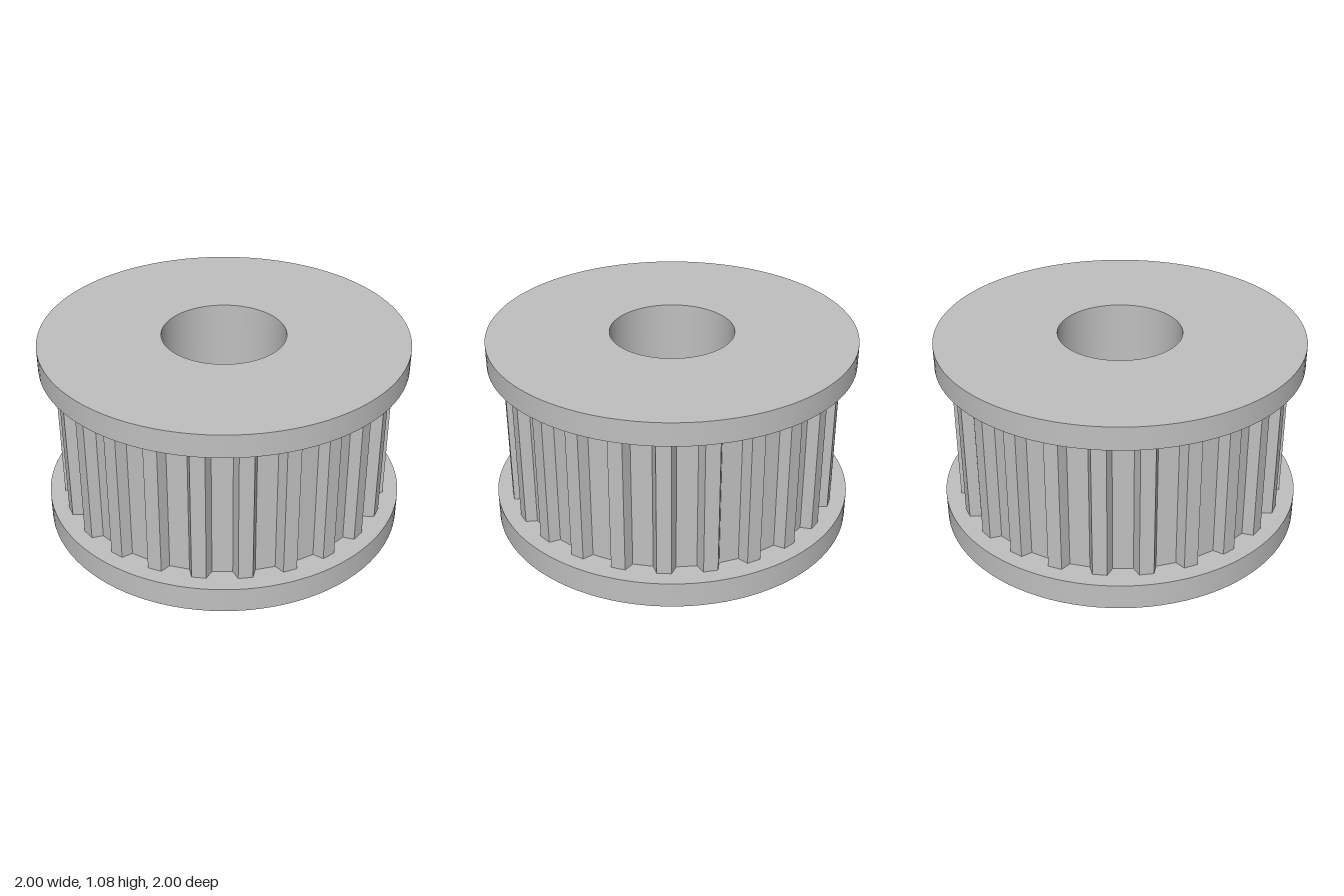
import * as THREE from 'three';

const SEG = 96;
const TEETH = 24;
const Y1 = 0.144, Y2 = 0.949, TOP = 1.077;        // flange and rim heights
const BORE = 0.157, RECESS = 0.338, FLOOR = 0.45; // shaft bore and wide recess
const PIN = 0.119, PIN_X = 0.597, PIN_TOP = 0.4;  // blind holes in the underside

export function createModel() {
  const model = new THREE.Group();
  model.name = 'timingPulley';
  const metal = new THREE.MeshStandardMaterial({ color: 0xc0c0c0 });
  metal.name = 'plain grey';

  const add = (name, geometry, x = 0, y = 0) => {
    const mesh = new THREE.Mesh(geometry, metal);
    mesh.name = name;
    mesh.position.set(x, y, 0);
    model.add(mesh);
  };

  // Turned surface between two profile points: upward faces out, downward faces in
  const turned = (name, r0, y0, r1, y1, x = 0) =>
    add(name, new THREE.LatheGeometry([new THREE.Vector2(r0, y0), new THREE.Vector2(r1, y1)], SEG), x);

  // Flat horizontal face with holes
  const flat = (name, shape, holes, y, up) => {
    shape.holes.push(...holes);
    const geometry = new THREE.ShapeGeometry(shape, SEG);
    geometry.rotateX(up ? -Math.PI / 2 : Math.PI / 2);
    add(name, geometry, 0, y);
  };
  const circle = (r, x = 0) => new THREE.Shape().absarc(x, 0, r, 0, Math.PI * 2, false);

  // Outline of the trapezoidal teeth: root, tip, tip, root for each tooth
  const outline = [];
  for (let i = 0; i < TEETH; i++) {
    for (const [r, deg] of [[0.86, -3.93], [0.917, -2.38], [0.917, 2.38], [0.86, 3.93]]) {
      const a = (i * 360 / TEETH + deg) * Math.PI / 180;
      outline.push(new THREE.Vector2(r * Math.cos(a), r * Math.sin(a)));
    }
  }

  // Toothed belt wall, one flat panel per outline edge
  const positions = [];
  outline.forEach((p, i) => {
    const q = outline[(i + 1) % outline.length];
    const a = [p.x, Y1, -p.y], b = [q.x, Y1, -q.y], c = [q.x, Y2, -q.y], d = [p.x, Y2, -p.y];
    positions.push(...a, ...b, ...c, ...a, ...c, ...d);
  });
  const wall = new THREE.BufferGeometry();
  wall.setAttribute('position', new THREE.Float32BufferAttribute(positions, 3));
  wall.computeVertexNormals();
  add('toothedWall', wall);

  // Flanges
  turned('lowerFlangeRim', 1, 0, 1, Y1);
  turned('upperFlangeRim', 1, Y2, 1, TOP);
  flat('lowerFlangeInnerFace', circle(1), [new THREE.Path(outline)], Y1, true);
  flat('upperFlangeInnerFace', circle(1), [new THREE.Path(outline)], Y2, false);
  flat('underside', circle(1), [circle(BORE), circle(PIN, PIN_X), circle(PIN, -PIN_X)], 0, false);
  turned('topFace', 1, TOP, RECESS, TOP);

  // Wide recess from the top stepping down to the shaft bore
  turned('recessWall', RECESS, TOP, RECESS, FLOOR);
  turned('recessFloor', RECESS, FLOOR, BORE, FLOOR);
  turned('boreWall', BORE, FLOOR, BORE, 0);

  // Pair of blind holes in the underside
  for (const side of [-1, 1]) {
    turned('pinHoleWall', PIN, PIN_TOP, PIN, 0, side * PIN_X);
    turned('pinHoleEnd', 0, PIN_TOP, PIN, PIN_TOP, side * PIN_X);
  }
  return model;
}
